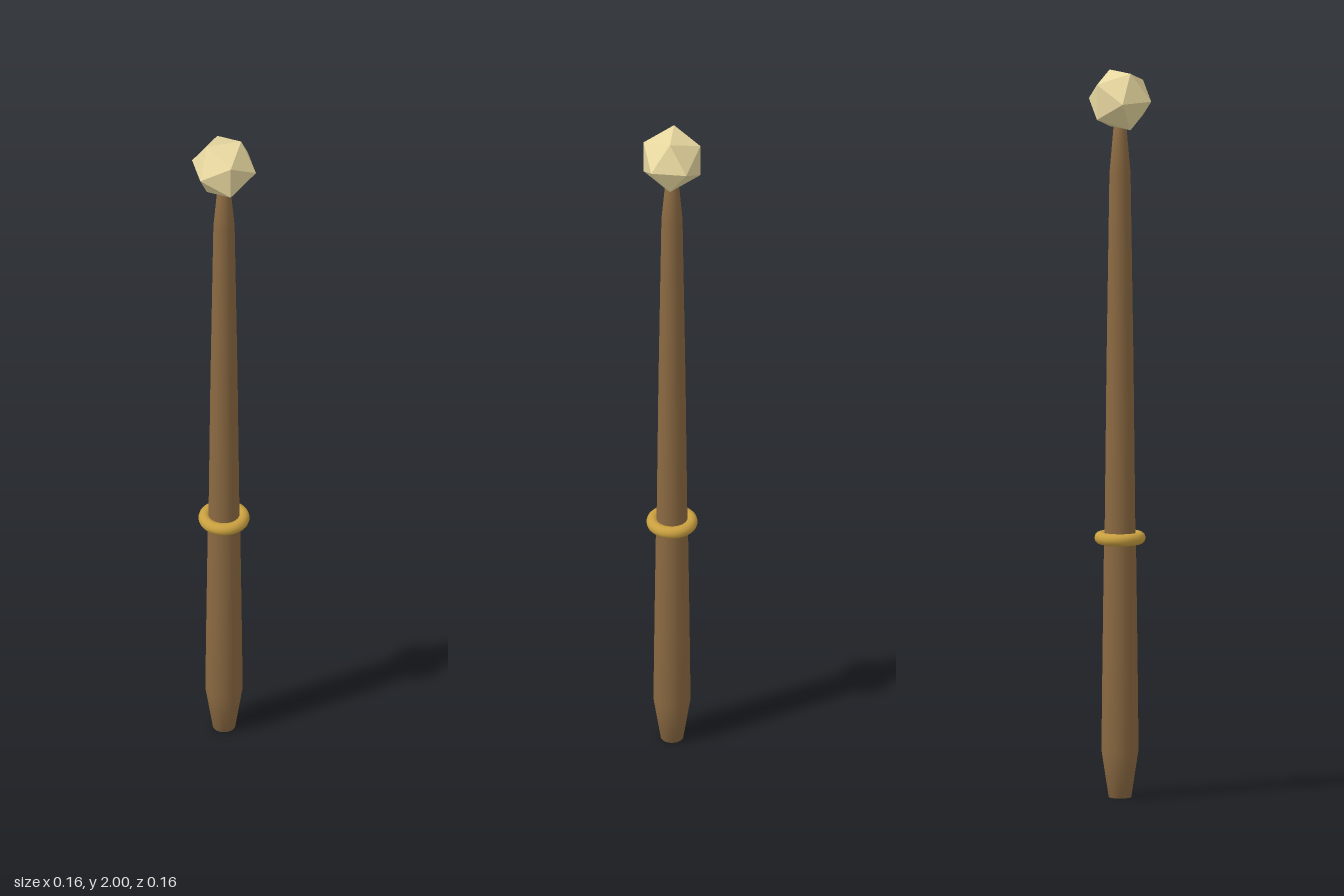
import * as THREE from 'three';

export function createModel() {
  const model = new THREE.Group();
  const add = (name, geometry, color, y, options = {}) => {
    const mesh = new THREE.Mesh(geometry, new THREE.MeshStandardMaterial({ color, ...options }));
    mesh.name = name;
    mesh.position.y = y;
    model.add(mesh);
    return mesh;
  };

  // Turned wooden shaft: [radius, height], closed at both ends
  const profile = [
    [0, 0], [0.031, 0], [0.051, 0.13], [0.048, 0.4], [0.044, 0.7],
    [0.042, 0.75], [0.037, 1.2], [0.029, 1.72], [0.018, 1.846], [0, 1.846],
  ].map(([r, y]) => new THREE.Vector2(r, y));
  add('shaft', new THREE.LatheGeometry(profile, 24), 0x8b6a42, 0);

  // Metal collar above the grip
  const collar = add('collarRing', new THREE.TorusGeometry(0.053, 0.017, 12, 32), 0xc9a040, 0.715);
  collar.rotation.x = Math.PI / 2;

  // Faceted head resting on the tip
  add('facetedHead', new THREE.IcosahedronGeometry(0.0917, 0), 0xe8d8a0, 1.922, { flatShading: true });

  return model;
}
